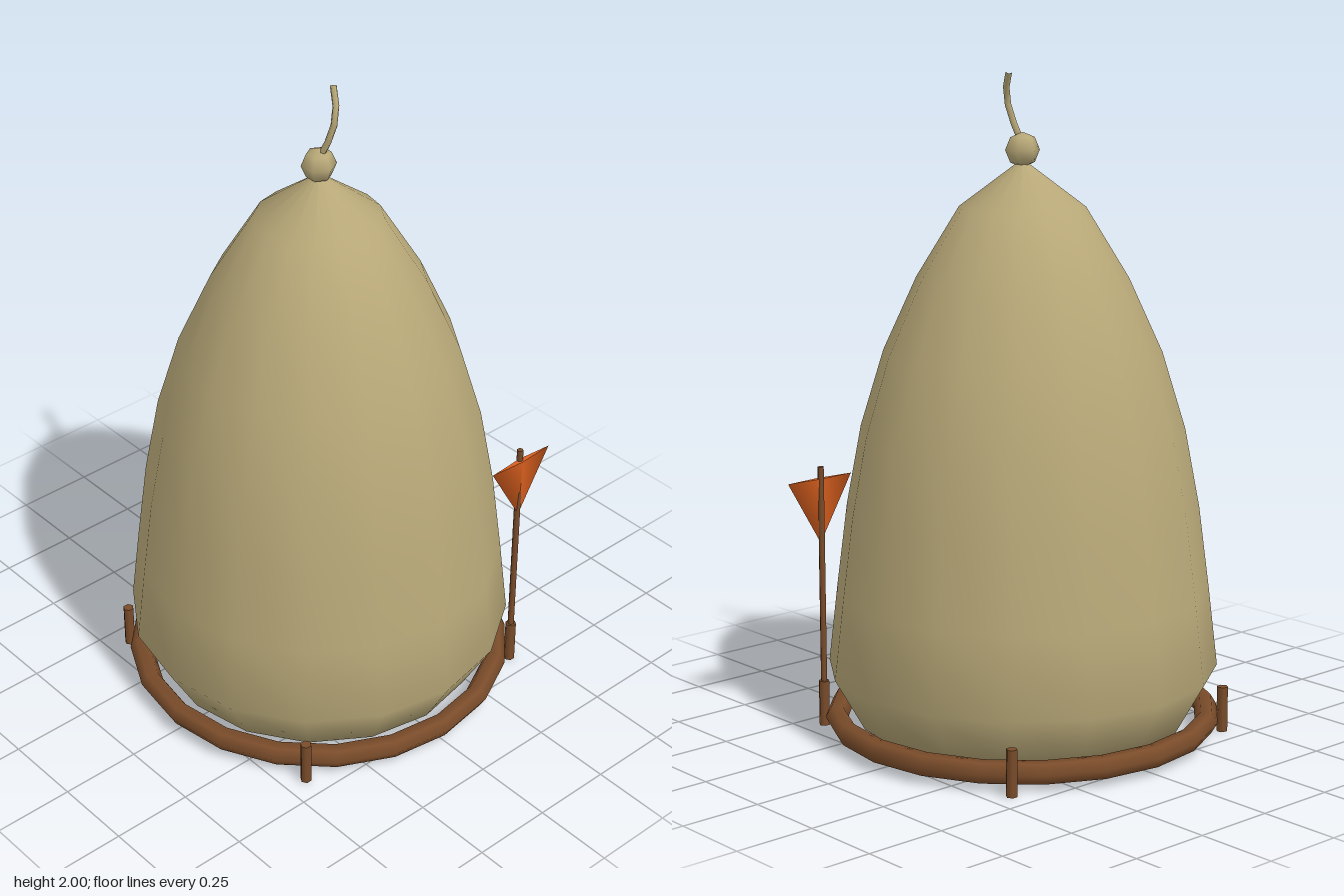
import * as THREE from 'three';

export function createModel() {
  const model = new THREE.Group();
  const cloth = new THREE.MeshStandardMaterial({ name: 'tan cloth', color: 0xb8a878 });
  const wood = new THREE.MeshStandardMaterial({ name: 'brown wood', color: 0x7a4c2a });
  const orange = new THREE.MeshStandardMaterial({ name: 'orange flag', color: 0xd95f1e });

  const add = (name, geometry, material, x = 0, y = 0, z = 0) => {
    const mesh = new THREE.Mesh(geometry, material);
    mesh.name = name;
    mesh.position.set(x, y, z);
    model.add(mesh);
    return mesh;
  };

  // Bell-shaped sack, closed underneath
  const profile = [
    [0, 0.05], [0.5, 0.05], [0.59, 0.21], [0.562, 0.45], [0.53, 0.7], [0.485, 0.94],
    [0.415, 1.17], [0.315, 1.39], [0.187, 1.6], [0, 1.74],
  ].map(([r, y]) => new THREE.Vector2(r, y));
  add('sack', new THREE.LatheGeometry(profile, 16), cloth);

  // Knot and loose cord end at the top
  add('knot', new THREE.SphereGeometry(0.052, 6, 4), cloth, 0, 1.766, 0);
  const cord = new THREE.CatmullRomCurve3([
    new THREE.Vector3(0.005, 1.79, 0),
    new THREE.Vector3(0.033, 1.86, -0.012),
    new THREE.Vector3(0.04, 1.93, -0.028),
    new THREE.Vector3(0, 1.995, -0.053),
  ]);
  add('cord', new THREE.TubeGeometry(cord, 4, 0.01, 5), cloth);

  // Ground hoop
  const hoop = new THREE.TorusGeometry(0.565, 0.035, 6, 20).rotateX(Math.PI / 2);
  add('hoop', hoop, wood, 0, 0.055, 0);

  // Four pegs around the hoop
  for (const x of [-0.43, 0.43]) {
    for (const z of [-0.43, 0.43]) {
      add('peg', new THREE.CylinderGeometry(0.017, 0.017, 0.14, 6), wood, x, 0.07, z);
    }
  }

  // Marker pole with a flat pennant at the back left
  add('pole', new THREE.CylinderGeometry(0.01, 0.01, 0.81, 6), wood, 0.43, 0.405, -0.43);
  const pennant = new THREE.ConeGeometry(0.119, 0.2, 4).rotateX(Math.PI).scale(0.08, 1, 1);
  add('pennant', pennant, orange, 0.435, 0.673, -0.43);

  return model;
}
